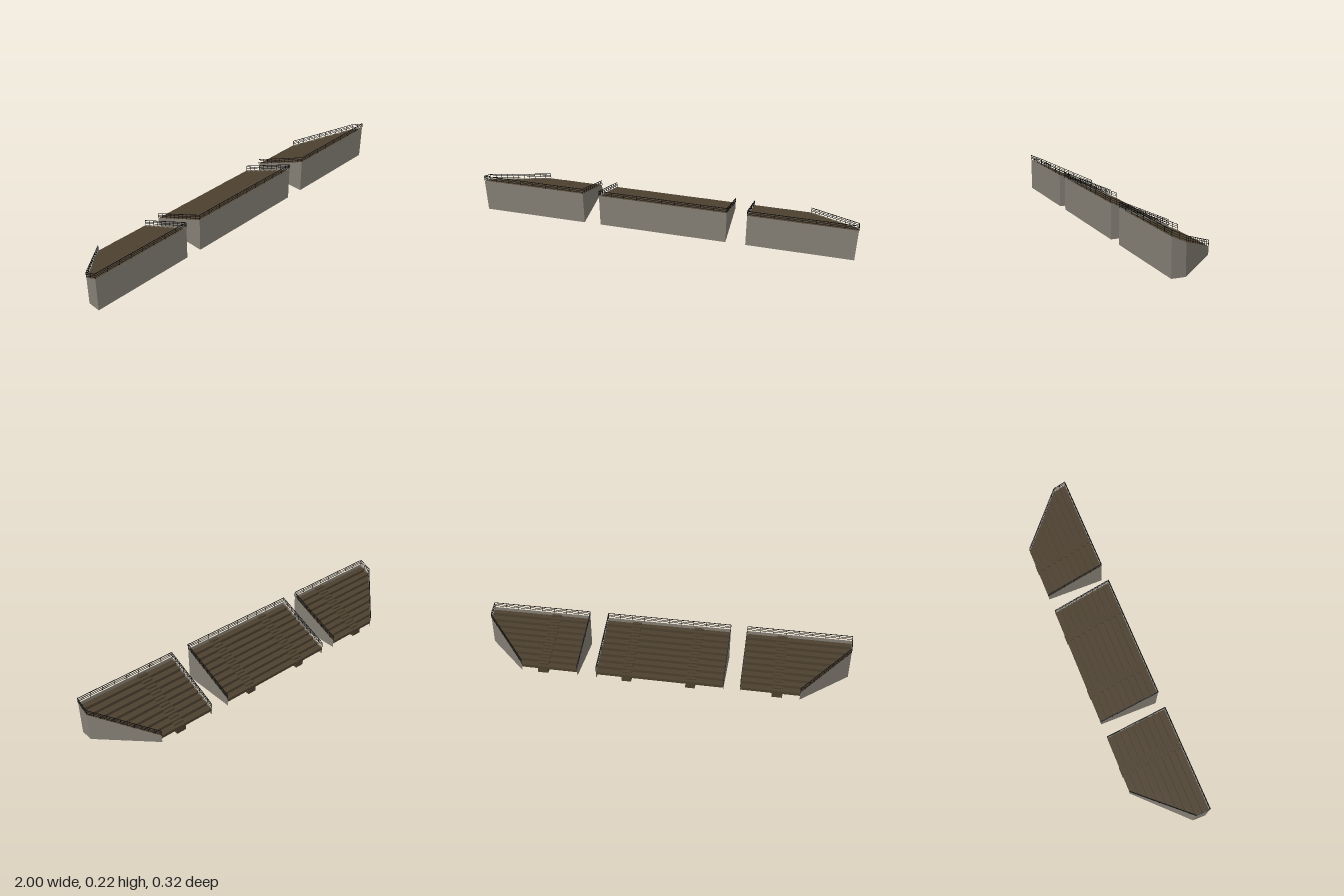
import * as THREE from 'three';
import { mergeGeometries } from 'three/addons/utils/BufferGeometryUtils.js';

const D = 0.16;            // half depth
const ROWS = 9;
const PITCH = (2 * D) / ROWS;
const LOW = 0.042, HIGH = 0.186;
const RISE = (HIGH - LOW) / ROWS;
const RAIL_H = 0.028;

// Height of the sloping wall top at depth z
const slopeY = (z) => LOW + ((HIGH - LOW) * (z + D)) / (2 * D);

// Outer x limit at depth z along the cut corner of the end stands
const cutX = (z) => Math.min(1, 0.75 + ((z + D) * 0.25) / 0.25);

// Thin square bar between two points
function bar(a, b, w) {
  const g = new THREE.BoxGeometry(w, w, a.distanceTo(b));
  const m = new THREE.Matrix4().lookAt(b, a, new THREE.Vector3(0, Math.abs(b.y - a.y) > a.distanceTo(b) * 0.99 ? 0 : 1, 0.001));
  g.applyMatrix4(m);
  const mid = a.clone().add(b).multiplyScalar(0.5);
  return g.translate(mid.x, mid.y, mid.z);
}

// Upright wall panel from the ground to the slope line
function wallPanel([ax, az], [bx, bz]) {
  const g = new THREE.BufferGeometry();
  g.setAttribute('position', new THREE.Float32BufferAttribute([
    ax, 0, az, bx, 0, bz, bx, slopeY(bz), bz, ax, slopeY(az), az], 3));
  g.setIndex([0, 1, 2, 0, 2, 3]);
  g.computeVertexNormals();
  return g;
}

// Posts and three rails standing on one wall panel
function railing([ax, az], [bx, bz]) {
  const a = new THREE.Vector3(ax, slopeY(az), az);
  const b = new THREE.Vector3(bx, slopeY(bz), bz);
  const up = (p, h) => p.clone().setY(p.y + h);
  const parts = [0.009, 0.018, RAIL_H].map((h) =>
    bar(up(a, h), up(b, h), h === RAIL_H ? 0.0026 : 0.0018));
  const spacing = az === bz ? 0.07 : 0.035;
  const n = Math.max(1, Math.round(a.distanceTo(b) / spacing));
  for (let i = 0; i <= n; i++) {
    const p = a.clone().lerp(b, i / n);
    const post = new THREE.BoxGeometry(0.0018, RAIL_H, 0.0018);
    parts.push(post.translate(p.x, p.y + RAIL_H / 2, p.z));
  }
  return mergeGeometries(parts);
}

// Seat plank with a four-cornered plan: x limits at its low and high edges
function plank(l0, r0, l1, r1, z0, z1, y) {
  const s = new THREE.Shape([
    new THREE.Vector2(l1, -z1), new THREE.Vector2(r1, -z1),
    new THREE.Vector2(r0, -z0), new THREE.Vector2(l0, -z0)]);
  const g = new THREE.ExtrudeGeometry(s, { depth: RISE, bevelEnabled: false });
  return g.rotateX(-Math.PI / 2).translate(0, y - RISE, 0);
}

// Solid flight of half-height steps reaching the ground
function aisleSteps(x0, x1) {
  const s = new THREE.Shape();
  s.moveTo(-D, 0);
  const n = ROWS * 2;
  for (let i = 0; i < n; i++) {
    const y = LOW - 0.002 + (i * RISE) / 2;
    s.lineTo(-D + (i * PITCH) / 2, y);
    s.lineTo(-D + ((i + 1) * PITCH) / 2, y);
  }
  s.lineTo(D, 0);
  const g = new THREE.ExtrudeGeometry(s, { depth: x1 - x0, bevelEnabled: false });
  return g.rotateY(-Math.PI / 2).translate(x1, 0, 0);
}

export function createModel() {
  const concrete = new THREE.MeshStandardMaterial({ color: 0x847e74, side: THREE.DoubleSide });
  concrete.name = 'concrete';
  const wood = new THREE.MeshStandardMaterial({ color: 0x4c402f });
  wood.name = 'brownWood';
  const metal = new THREE.MeshStandardMaterial({ color: 0x0b0b0b });
  metal.name = 'blackMetal';

  // Plan outline of the walls, open on the low side
  const sections = [
    { name: 'rightStand', x0: -1, x1: -0.44, aisles: [[-0.66, -0.605]],
      plan: [[-0.75, -D], [-1, 0.09], [-1, D], [-0.44, D], [-0.44, -D]] },
    { name: 'middleStand', x0: -0.35, x1: 0.335, aisles: [[-0.2, -0.15], [0.145, 0.195]],
      plan: [[-0.35, -D], [-0.35, D], [0.335, D], [0.335, -D]] },
    { name: 'leftStand', x0: 0.44, x1: 1, aisles: [[0.605, 0.66]],
      plan: [[0.44, -D], [0.44, D], [1, D], [1, 0.09], [0.75, -D]] },
  ];

  const model = new THREE.Group();
  model.name = 'grandstand';
  for (const { name, x0, x1, aisles, plan } of sections) {
    const stand = new THREE.Group();
    stand.name = name;
    const add = (part, geometries, material) => {
      const mesh = new THREE.Mesh(mergeGeometries(geometries), material);
      mesh.name = part;
      stand.add(mesh);
    };

    // Walls and railings follow the same outline
    const edges = plan.slice(1).map((p, i) => [plan[i], p]);
    add('walls', edges.map(([a, b]) => wallPanel(a, b)), concrete);
    add('railings', edges.map(([a, b]) => railing(a, b)), metal);

    // Seat rows, split by the aisles and trimmed at the cut corner
    const stops = [x0, ...aisles.flat(), x1];
    const clip = (x, z) => Math.sign(x) * Math.min(Math.abs(x), cutX(z) - 0.001);
    const planks = [];
    for (let i = 0; i < ROWS; i++) {
      const z0 = -D + i * PITCH, z1 = z0 + PITCH;
      for (let k = 0; k < stops.length; k += 2) {
        const l = stops[k] + (k === 0 ? 0.001 : 0);
        const r = stops[k + 1] - (k === stops.length - 2 ? 0.001 : 0);
        planks.push(plank(clip(l, z0), clip(r, z0), clip(l, z1), clip(r, z1),
          z0, Math.min(z1, D - 0.001), LOW - 0.002 + i * RISE));
      }
    }
    add('seatRows', planks, wood);
    add('aisleSteps', aisles.map(([a, b]) => aisleSteps(a, b).translate(0, 0, -0.001)), wood);
    model.add(stand);
  }
  return model;
}
